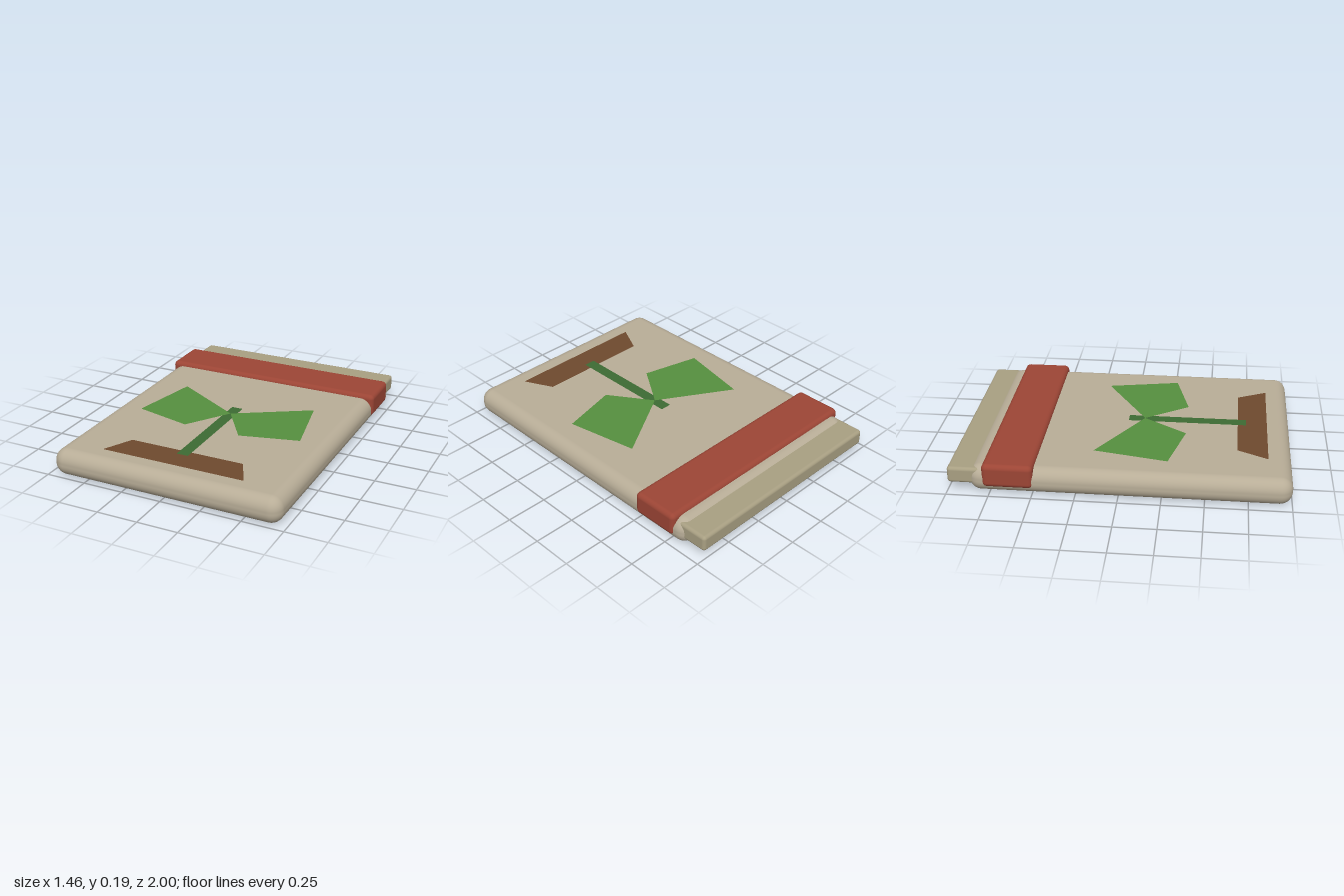
import * as THREE from 'three';
import { RoundedBoxGeometry } from 'three/addons/geometries/RoundedBoxGeometry.js';

const material = (color) => new THREE.MeshStandardMaterial({ color });

// Rounded block given by its half width and its y and z ranges
function block(name, halfWidth, [y0, y1], [z0, z1], radius, mat) {
  const geometry = new RoundedBoxGeometry(halfWidth * 2, y1 - y0, z1 - z0, 6, radius);
  const mesh = new THREE.Mesh(geometry, mat);
  mesh.position.set(0, (y0 + y1) / 2, (z0 + z1) / 2);
  mesh.name = name;
  return mesh;
}

// Flat decal facing up, outlined by [x, z] points
function decal(name, points, y, mat) {
  const shape = new THREE.Shape(points.map(([x, z]) => new THREE.Vector2(x, -z)));
  const mesh = new THREE.Mesh(new THREE.ShapeGeometry(shape).rotateX(-Math.PI / 2), mat);
  mesh.position.y = y;
  mesh.name = name;
  return mesh;
}

export function createModel() {
  const model = new THREE.Group();
  model.name = 'seedPacket';

  // Pouch, crimped end and band
  model.add(
    block('pouch', 0.72, [0, 0.165], [-0.875, 1], 0.075, material(0xb8ad97)),
    block('crimpedEnd', 0.7, [0.05, 0.15], [-1, -0.78], 0.02, material(0xa89f82)),
    block('band', 0.73, [0.045, 0.19], [-0.79, -0.49], 0.03, material(0x9c4535)),
  );

  // Printed seedling: soil, stem and a mirrored pair of leaves
  const seedling = new THREE.Group();
  seedling.name = 'seedling';
  seedling.add(
    decal('soil', [[-0.36, 0.68], [0.36, 0.68], [0.45, 0.86], [-0.45, 0.86]], 0.167, material(0x6e4a2e)),
    decal('stem', [[-0.036, 0], [0.036, 0], [0.036, 0.73], [-0.036, 0.73]], 0.169, material(0x3d6b33)),
  );
  const leafMaterial = material(0x568f3f);
  const leaf = [[0, 0.1], [0.45, -0.17], [0.54, 0.275], [0.18, 0.365]];
  for (const side of [1, -1]) {
    const points = leaf.map(([x, z]) => [x * side, z]);
    seedling.add(decal(side > 0 ? 'leftLeaf' : 'rightLeaf', points, 0.171, leafMaterial));
  }
  model.add(seedling);
  return model;
}
